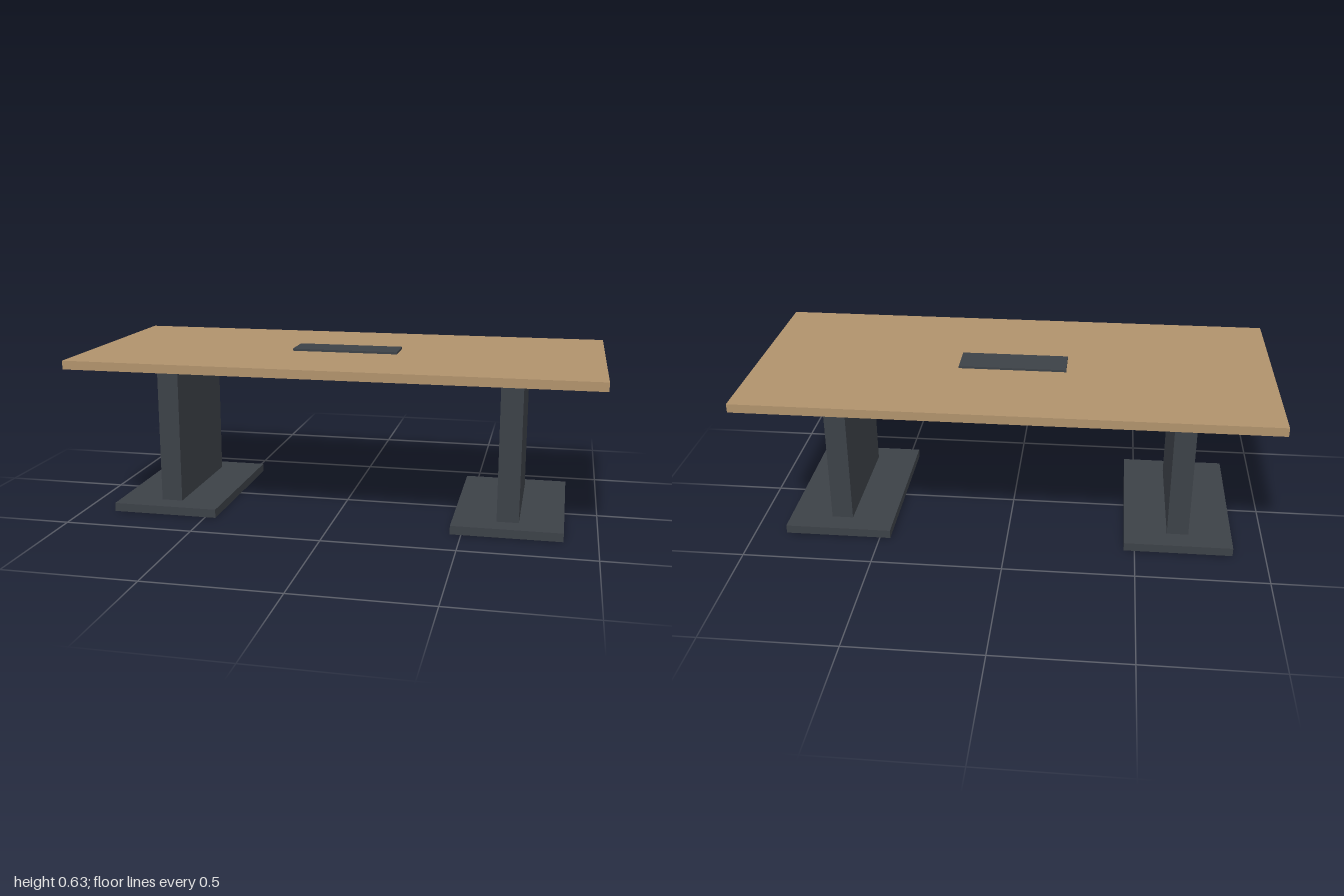
import * as THREE from 'three';

export function createModel() {
  const group = new THREE.Group();
  const wood = new THREE.MeshStandardMaterial({ name: 'wood', color: 0xb0926c });
  const darkMetal = new THREE.MeshStandardMaterial({ name: 'darkMetal', color: 0x3c4147 });

  // box standing on height y, centred on x and z = 0
  const addBox = (name, material, width, height, depth, x, y) => {
    const mesh = new THREE.Mesh(new THREE.BoxGeometry(width, height, depth), material);
    mesh.name = name;
    mesh.position.set(x, y + height / 2, 0);
    group.add(mesh);
  };

  // top with its central cable cover
  addBox('tableTop', wood, 2, 0.0333, 0.9167, 0, 0.5917);
  addBox('cableCover', darkMetal, 0.4167, 0.0083, 0.1333, 0, 0.625);

  // panel legs on flat feet
  for (const [side, sign] of [['left', 1], ['right', -1]]) {
    addBox(side + 'Foot', darkMetal, 0.4167, 0.0333, 0.6667, sign * 0.6667, 0);
    addBox(side + 'Leg', darkMetal, 0.0833, 0.5584, 0.5, sign * 0.6667, 0.0333);
  }

  // beam joining the legs
  addBox('crossBeam', darkMetal, 1.25, 0.05, 0.05, 0, 0.525);

  return group;
}
